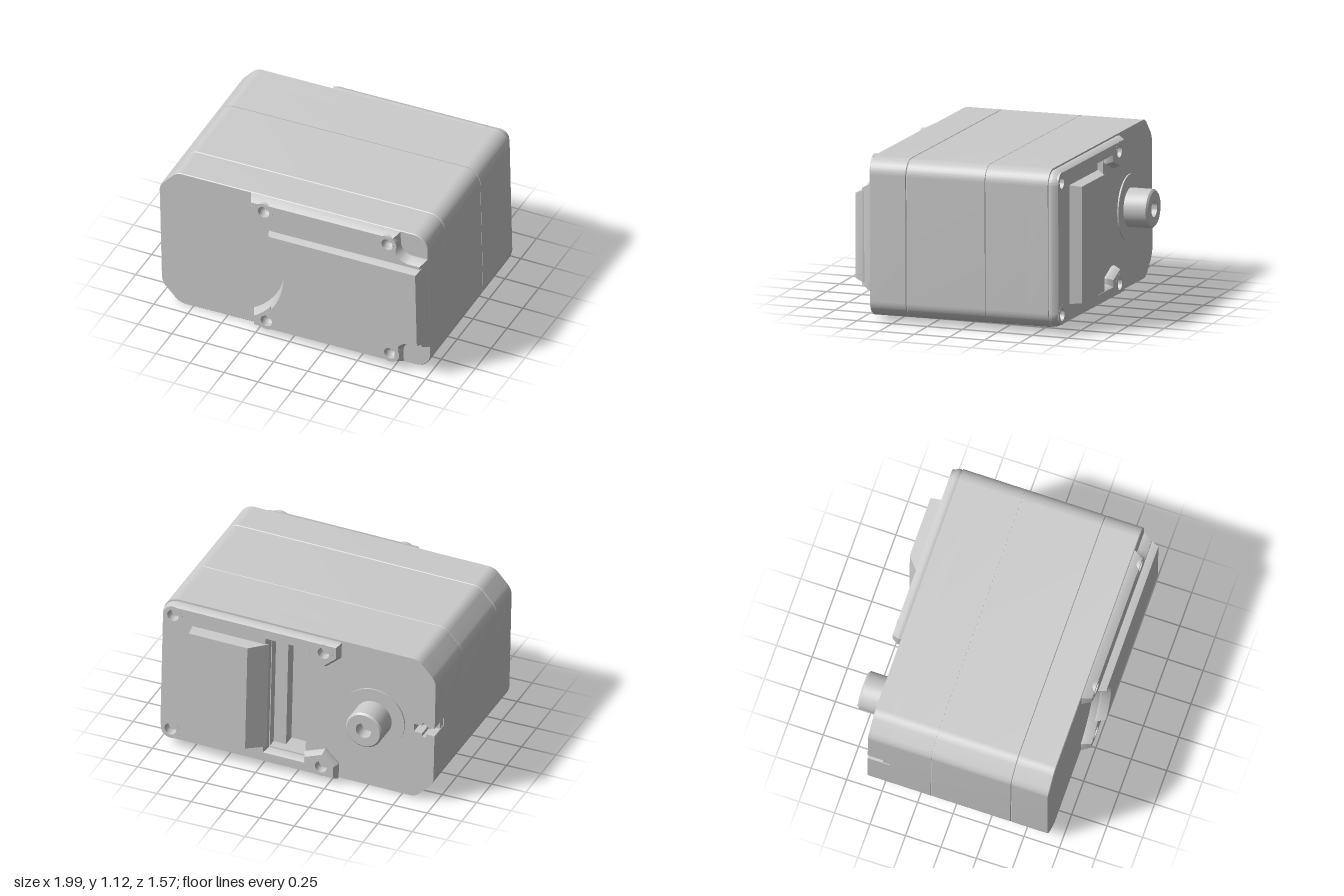
import * as THREE from 'three';
import { toCreasedNormals } from 'three/addons/utils/BufferGeometryUtils.js';

const material = new THREE.MeshStandardMaterial({ color: 0xcccccc });

export function createModel() {
  const root = new THREE.Group();
  root.name = 'gearMotor';
  const model = new THREE.Group();
  model.name = 'housing';
  model.position.y = 0.56;
  model.rotation.set(0.01, 0, 0.0175); // slight lean of the whole unit
  root.add(model);

  const add = (name, geometry) => {
    const mesh = new THREE.Mesh(geometry, material);
    mesh.name = name;
    model.add(mesh);
    return mesh;
  };

  // Extrude a shape from z0 to z1; the chamfer stays inside the outline.
  const slab = (name, shape, z0, z1, bevel = 0, bevelDepth = bevel) => {
    const g = new THREE.ExtrudeGeometry(shape, {
      depth: z1 - z0 - 2 * bevelDepth, curveSegments: 16, bevelEnabled: bevel > 0,
      bevelSize: bevel, bevelThickness: bevelDepth, bevelOffset: -bevel, bevelSegments: 1,
    });
    g.translate(0, 0, z0 + bevelDepth);
    return add(name, toCreasedNormals(g, 0.5));
  };

  const circle = (x, y, r) => new THREE.Path().absarc(x, y, r, 0, Math.PI * 2, true);
  const polygon = (pts) => new THREE.Shape(pts.map(([x, y]) => new THREE.Vector2(x, y)));

  // Housing outline: round corners on one side, chamfers on the other
  const outline = (notched = false) => {
    const s = new THREE.Shape();
    s.moveTo(-0.82, -0.54);
    s.lineTo(0.88, -0.54);
    s.absarc(0.88, -0.43, 0.11, -Math.PI / 2, 0, false);
    s.lineTo(0.99, 0.43);
    s.absarc(0.88, 0.43, 0.11, 0, Math.PI / 2, false);
    s.lineTo(-0.82, 0.54);
    s.quadraticCurveTo(-0.86, 0.54, -0.89, 0.51);
    s.lineTo(-0.96, 0.435);
    s.quadraticCurveTo(-0.99, 0.4, -0.99, 0.36);
    if (notched) {
      for (const [x, y] of [[-0.99, 0.03], [-0.93, 0.03], [-0.93, 0.055], [-0.9, 0.055], [-0.9, 0.03], [-0.84, 0.03],
        [-0.84, -0.03], [-0.9, -0.03], [-0.9, -0.055], [-0.93, -0.055], [-0.93, -0.03], [-0.99, -0.03]]) s.lineTo(x, y);
    }
    s.lineTo(-0.99, -0.36);
    s.quadraticCurveTo(-0.99, -0.4, -0.96, -0.435);
    s.lineTo(-0.89, -0.51);
    s.quadraticCurveTo(-0.86, -0.54, -0.82, -0.54);
    return s;
  };

  // Three housing sections, with fine seams between them
  slab('frontHousing', outline(), 0.405, 0.667, 0.005);
  slab('middleHousing', outline(), -0.16, 0.405, 0.005);
  slab('rearHousing', outline(), -0.45, -0.16);
  const rim = outline(true);
  rim.holes.push(polygon([[-0.06, -0.43], [-0.06, 0.43], [0.2, 0.43], [0.2, -0.43]]));
  slab('rearRim', rim, -0.605, -0.45);
  slab('notchFloor', polygon([[-0.985, -0.06], [-0.83, -0.06], [-0.83, 0.06], [-0.985, 0.06]]), -0.5, -0.44);
  slab('pocketLedge', polygon([[0.11, -0.43], [0.21, -0.43], [0.21, 0.43], [0.11, 0.43]]), -0.54, -0.44);

  // Front plate: curved inner edge and two corner cut-outs
  const plate = new THREE.Shape();
  plate.moveTo(-0.31, -0.535);
  plate.lineTo(0.79, -0.535);
  plate.lineTo(0.79, -0.45);
  plate.absarc(0.88, -0.45, 0.09, Math.PI, Math.PI / 2, true);
  plate.lineTo(0.985, -0.36);
  plate.lineTo(0.985, 0.36);
  plate.lineTo(0.88, 0.36);
  plate.absarc(0.88, 0.45, 0.09, -Math.PI / 2, -Math.PI, true);
  plate.lineTo(0.79, 0.535);
  plate.lineTo(-0.31, 0.535);
  plate.absarc(-0.55, 0, 0.48, Math.PI / 3, -Math.PI / 3, true);
  const frontScrews = [], rearScrews = [];
  for (const y of [-0.45, 0.45]) {
    frontScrews.push([-0.19, y], [0.72, y]);
    rearScrews.push([-0.2, y], [0.895, y]);
  }
  for (const [x, y] of frontScrews) plate.holes.push(circle(x, y, 0.03));
  slab('frontPlate', plate, 0.6, 0.732, 0.03, 0.06);

  // Raised front cover
  const cover = new THREE.Shape();
  const a = Math.asin(0.31 / 0.5);
  cover.moveTo(0.965, -0.31);
  cover.lineTo(0.965, 0.31);
  cover.absarc(-0.55, 0, 0.5, a, -a, true);
  slab('frontCover', cover, 0.66, 0.782, 0.02, 0.055);

  // Rear plate with two screw tabs beside the pocket
  const rear = new THREE.Shape();
  rear.moveTo(-0.31, -0.535);
  rear.lineTo(0.88, -0.535);
  rear.absarc(0.88, -0.43, 0.105, -Math.PI / 2, 0, false);
  rear.lineTo(0.985, 0.43);
  rear.absarc(0.88, 0.43, 0.105, 0, Math.PI / 2, false);
  for (const [x, y] of [[-0.31, 0.535], [-0.31, 0.42], [-0.21, 0.33], [-0.06, 0.39], [-0.06, 0.43], [0.2, 0.43],
    [0.2, -0.43], [-0.06, -0.43], [-0.06, -0.39], [-0.21, -0.33], [-0.31, -0.42]]) rear.lineTo(x, y);
  for (const [x, y] of rearScrews) rear.holes.push(circle(x, y, 0.04));
  slab('rearPlate', rear, -0.67, -0.58, 0.02, 0.04);

  // Screw sockets
  const socket = ([x, y], z0, z1) => {
    const s = new THREE.Shape().absarc(x, y, 0.068, 0, Math.PI * 2, false);
    s.holes.push(circle(x, y, 0.042));
    slab('screwSocket', s, z0, z1);
  };
  frontScrews.forEach((p) => socket(p, 0.65, 0.733));
  rearScrews.forEach((p) => socket(p, -0.671, -0.59));

  // Raised rear block, sloping down towards the pocket
  const block = new THREE.BoxGeometry(0.555, 0.81, 0.095).translate(0.4775, 0, -0.7075);
  const pos = block.attributes.position;
  for (let i = 0; i < pos.count; i++) {
    if (pos.getZ(i) > -0.7) continue;
    pos.setX(i, pos.getX(i) < 0.4 ? 0.315 : 0.742);
    pos.setY(i, pos.getY(i) * 0.98);
  }
  block.computeVertexNormals();
  add('rearBlock', block);

  // Output shaft with flange and bore
  const profile = [[0, 0.69], [0.055, 0.69], [0.055, 0.785], [0.12, 0.785], [0.132, 0.773], [0.132, 0.615],
    [0.225, 0.615], [0.225, 0.59]].reverse().map(([r, h]) => new THREE.Vector2(r, h));
  const shaft = new THREE.LatheGeometry(profile, 40).rotateX(-Math.PI / 2);
  add('outputShaft', toCreasedNormals(shaft, 0.5)).position.x = -0.55;

  return root;
}
